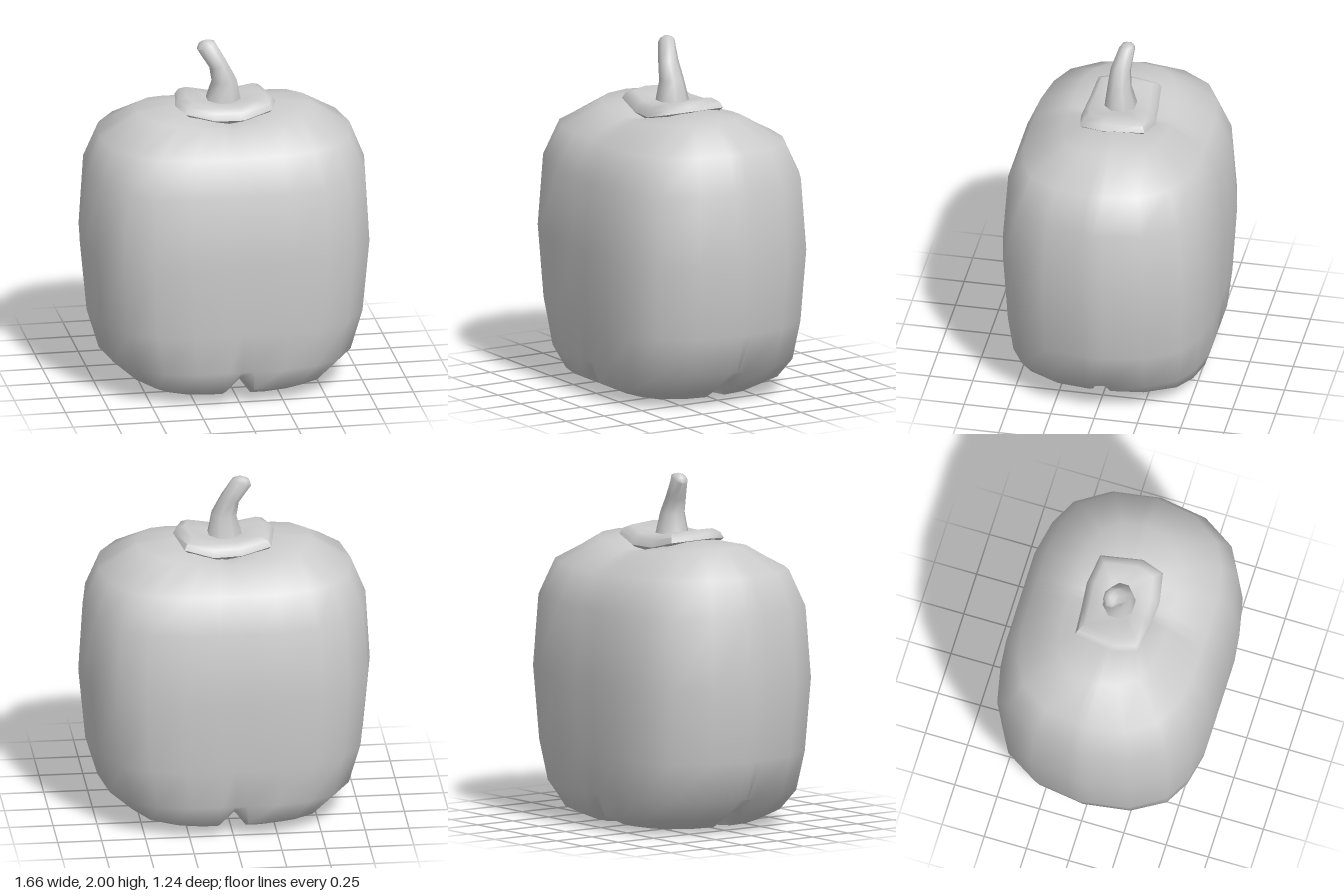
import * as THREE from 'three';
import { toCreasedNormals } from 'three/addons/utils/BufferGeometryUtils.js';

// Skin a stack of equal-length rings (bottom to top), with optional end points.
function loft(rings, bottom, top, crease = 1.1) {
  const n = rings[0].length;
  const pos = rings.flat(2);
  const index = [];
  for (let i = 0; i < rings.length - 1; i++) {
    for (let j = 0; j < n; j++) {
      const k = (j + 1) % n;
      const a = i * n + j, b = i * n + k;
      index.push(a, a + n, b, b, a + n, b + n);
    }
  }
  const cap = (point, row, up) => {
    const c = pos.length / 3;
    pos.push(...point);
    for (let j = 0; j < n; j++) {
      const a = row * n + j, b = row * n + (j + 1) % n;
      if (up) index.push(a, c, b);
      else index.push(a, b, c);
    }
  };
  if (bottom) cap(bottom, 0, false);
  if (top) cap(top, rings.length - 1, true);
  const geo = new THREE.BufferGeometry();
  geo.setAttribute('position', new THREE.Float32BufferAttribute(pos, 3));
  geo.setIndex(index);
  return toCreasedNormals(geo, crease);
}

// Quarter of the widest outline, from the side (z = 0) to the front (x = 0).
const QUARTER = [[0.83, 0], [0.82, 0.06], [0.785, 0.29], [0.66, 0.49],
  [0.5, 0.575], [0.285, 0.62], [0.08, 0.62], [0, 0.62]];

// One body ring: half widths, height at front and side, height of the base grooves.
function bodyRing({ x: hx, z: hz, y, ySide = y, groove }) {
  const quarter = QUARTER.map(([px, pz], i) => {
    let x = px * hx / 0.83, z = pz * hz / 0.62;
    const grooved = groove !== undefined;
    if (grooved && i === 1) z = 0.06;
    if (grooved && i === 6) x = 0.08;
    const inGroove = grooved && (i === 0 || i === 7);
    return [x, inGroove ? groove : y + (ySide - y) * x / hx, z];
  });
  const forward = quarter.slice(0, 7);
  const back = quarter.slice(1).reverse();
  const mirror = (pts, sx, sz) => pts.map(([x, h, z]) => [x * sx, h, z * sz]);
  return [...forward, ...mirror(back, -1, 1), ...mirror(forward, -1, -1), ...mirror(back, 1, -1)];
}

export function createModel() {
  const group = new THREE.Group();
  const material = new THREE.MeshStandardMaterial({ color: 0xcccccc, side: THREE.DoubleSide });
  const add = (name, geo) => {
    const mesh = new THREE.Mesh(geo, material);
    mesh.name = name;
    group.add(mesh);
  };

  // Four-lobed body with a cross-shaped groove underneath and a saddle on top
  add('body', loft([
    { x: 0.26, z: 0.21, y: 0, groove: 0.12 },
    { x: 0.48, z: 0.4, y: 0.02, groove: 0.13 },
    { x: 0.58, z: 0.53, y: 0.08, groove: 0.16 },
    { x: 0.72, z: 0.57, y: 0.2 },
    { x: 0.79, z: 0.595, y: 0.43 },
    { x: 0.83, z: 0.62, y: 0.85 },
    { x: 0.805, z: 0.59, y: 1.26 },
    { x: 0.72, z: 0.505, y: 1.46, ySide: 1.47 },
    { x: 0.5, z: 0.29, y: 1.565, ySide: 1.61 },
    { x: 0.27, z: 0.18, y: 1.56, ySide: 1.635 },
  ].map(bodyRing), [0, 0.13, 0], [0, 1.53, 0]));

  // Cap leaf: an uneven pad that droops at the front and back
  const outline = [[0.285, 0.05], [0.245, 0.18], [0.08, 0.21], [-0.08, 0.2], [-0.25, 0.18],
    [-0.29, 0.05], [-0.25, -0.19], [-0.08, -0.205], [0.08, -0.22], [0.245, -0.19]];
  const capRing = (scale, yMid, yEnd) => outline.map(([x, z]) =>
    [x * scale, yMid + (yEnd - yMid) * Math.abs(x) / 0.29, z * scale]);
  add('stemCap', loft([
    capRing(0.85, 1.54, 1.6),
    capRing(1, 1.565, 1.64),
    capRing(0.93, 1.61, 1.67),
    capRing(0.78, 1.635, 1.688),
    capRing(0.4, 1.645, 1.655),
  ], null, [0, 1.645, 0]));

  // Stem: tapering rings that lean to the right
  const stemRing = ([cx, cy, cz, rx, rz, tilt]) => Array.from({ length: 8 }, (_, i) => {
    const a = (i + 0.5) * Math.PI / 4;
    const dx = rx * Math.cos(a) / Math.cos(Math.PI / 8);
    return [cx + dx, cy + dx * tilt, cz + rz * Math.sin(a) / Math.cos(Math.PI / 8)];
  });
  add('stem', loft([
    [-0.005, 1.63, -0.005, 0.1, 0.09, 0],
    [0, 1.765, 0.003, 0.068, 0.065, 0.1],
    [-0.035, 1.86, 0.003, 0.047, 0.055, 0.4],
    [-0.1, 1.968, -0.022, 0.05, 0.042, 0.4],
    [-0.108, 1.988, -0.024, 0.032, 0.03, 0.3],
  ].map(stemRing), null, [-0.108, 2, -0.024]));

  return group;
}
